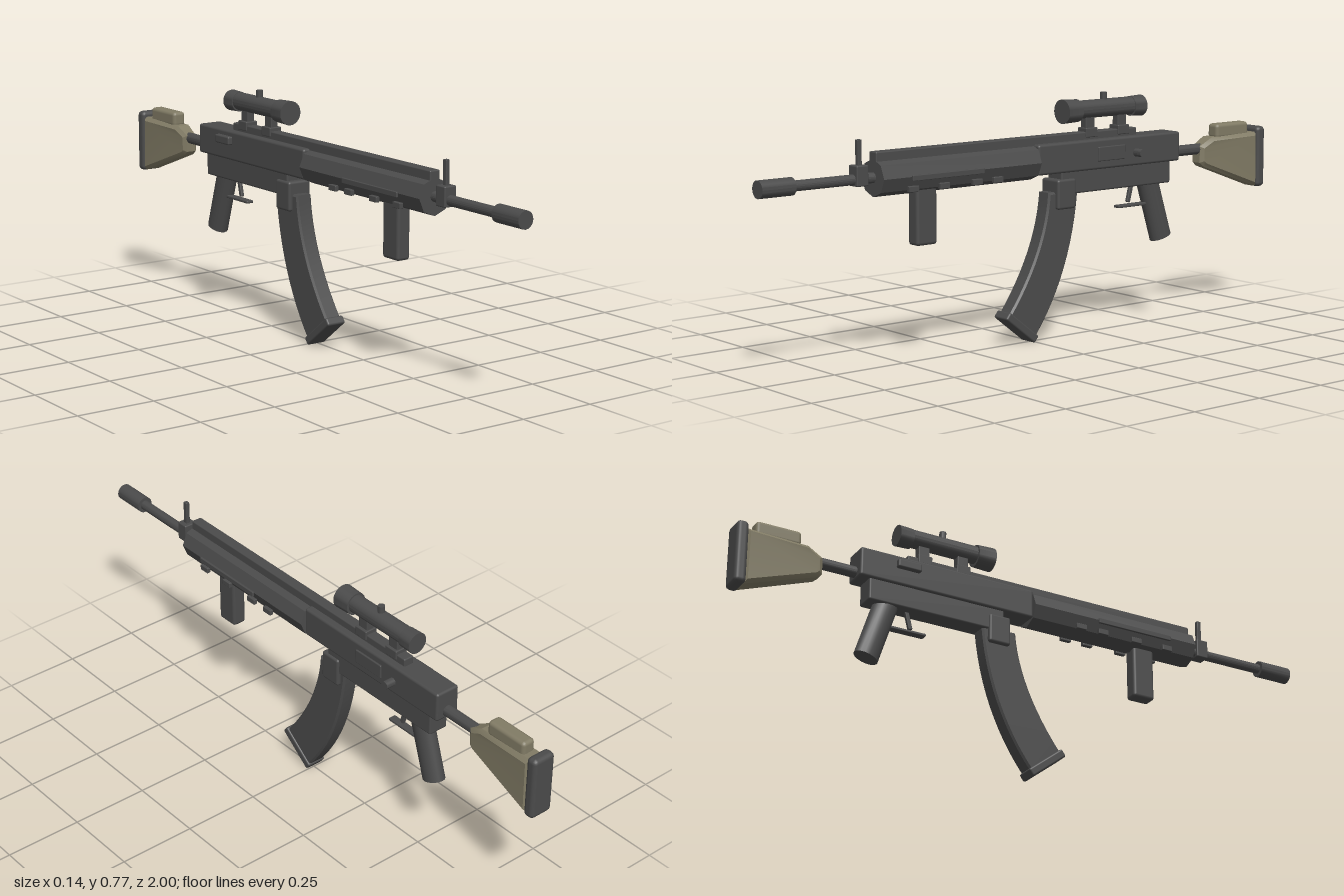
import * as THREE from 'three';
import { RoundedBoxGeometry } from 'three/addons/geometries/RoundedBoxGeometry.js';
import { toCreasedNormals } from 'three/addons/utils/BufferGeometryUtils.js';

export function createModel() {
  const model = new THREE.Group();
  const body = new THREE.Group();
  body.name = 'rifle';
  body.position.x = -0.006;
  model.add(body);

  const metal = new THREE.MeshStandardMaterial({ color: 0x4b4b4b });
  metal.name = 'gunmetal';
  const khaki = new THREE.MeshStandardMaterial({ color: 0x817b65 });
  khaki.name = 'khaki';

  const add = (name, geometry, x, y, z, material = metal) => {
    const mesh = new THREE.Mesh(geometry, material);
    mesh.name = name;
    mesh.position.set(x, y, z);
    body.add(mesh);
    return mesh;
  };
  // Box given by centre x, width, and its y and z limits
  const box = (name, x, w, y0, y1, z0, z1, r = 0.004, material = metal) =>
    add(name, new RoundedBoxGeometry(w, y1 - y0, z1 - z0, 2, r), x, (y0 + y1) / 2, (z0 + z1) / 2, material);
  // Round bar along z
  const bar = (name, y, z0, z1, r0, r1 = r0, sides = 20) => {
    const g = new THREE.CylinderGeometry(r1, r0, z1 - z0, sides).rotateX(Math.PI / 2);
    return add(name, toCreasedNormals(g, 0.6), 0, y, (z0 + z1) / 2);
  };
  // Side profile drawn as (z, y), extruded across x with chamfered edges
  const profile = (name, shape, width, bevel, material = metal) => {
    const g = new THREE.ExtrudeGeometry(shape, {
      depth: width - 2 * bevel, curveSegments: 12, bevelEnabled: true, bevelSegments: 1,
      bevelSize: bevel, bevelThickness: bevel, bevelOffset: -bevel,
    });
    g.translate(0, 0, bevel - width / 2).rotateY(-Math.PI / 2);
    return add(name, toCreasedNormals(g, 0.4), 0, 0, 0, material);
  };

  // Barrel and front sight
  bar('muzzle', 0.573, 0.885, 1, 0.027);
  bar('barrel', 0.573, 0.55, 0.9, 0.016);
  box('frontSightBlock', 0, 0.044, 0.553, 0.615, 0.63, 0.672);
  box('frontSightPost', 0, 0.014, 0.6, 0.69, 0.643, 0.658, 0.002);

  // Octagonal handguard with side rails and small lugs
  bar('handguard', 0.572, 0, 0.6, 0.057, 0.057, 8);
  for (const s of [-1, 1]) {
    box('sideRail', s * 0.06, 0.008, 0.56, 0.577, 0.23, 0.5, 0.002);
    for (const z of [0.49, 0.375, 0.25, 0.17])
      box('handguardLug', s * 0.05, 0.014, 0.526, 0.544, z - 0.018, z + 0.018, 0.002);
  }
  box('foregrip', 0, 0.048, 0.355, 0.54, 0.38, 0.457, 0.01);
  box('topRail', 0, 0.036, 0.61, 0.65, -0.43, 0.6, 0.004);

  // Receiver
  box('receiver', 0, 0.084, 0.53, 0.626, -0.6, 0, 0.008);
  box('lowerReceiver', 0, 0.068, 0.46, 0.54, -0.565, -0.1, 0.006);
  box('magazineWell', 0, 0.082, 0.415, 0.51, -0.155, -0.08, 0.008);
  box('ejectionPort', 0.042, 0.01, 0.556, 0.602, -0.357, -0.243, 0.003);
  box('selectorPlate', -0.047, 0.022, 0.582, 0.609, -0.48, -0.4, 0.005);
  const handle = new THREE.CylinderGeometry(0.013, 0.013, 0.05, 16).rotateZ(Math.PI / 2);
  add('chargingHandle', toCreasedNormals(handle, 0.6), 0.05, 0.572, -0.407);

  // Curved magazine with floor plate
  const mag = new THREE.Shape();
  mag.moveTo(-0.055, 0.47);
  mag.quadraticCurveTo(-0.04, 0.287, 0.105, 0.1);
  mag.lineTo(0, 0.018);
  mag.quadraticCurveTo(-0.15, 0.205, -0.175, 0.47);
  mag.closePath();
  profile('magazine', mag, 0.056, 0.006);
  const plate = add('magazineFloorPlate', new RoundedBoxGeometry(0.066, 0.027, 0.146, 2, 0.006), 0, 0.056, 0.056);
  plate.rotation.x = -0.66;

  // Pistol grip, trigger and guard
  const gripGeo = new THREE.CylinderGeometry(0.04, 0.04, 0.22, 16);
  gripGeo.scale(0.75, 1, 1);
  const grip = add('pistolGrip', toCreasedNormals(gripGeo, 0.6), 0, 0.384, -0.521);
  grip.rotation.x = 0.31;
  box('triggerGuard', 0, 0.026, 0.391, 0.4, -0.49, -0.36, 0.003);
  const trigger = box('trigger', 0, 0.012, 0.405, 0.47, -0.424, -0.41, 0.003);
  trigger.rotation.x = -0.25;

  // Scope on two mounts
  bar('scopeTube', 0.72, -0.44, -0.16, 0.029);
  bar('scopeFrontBell', 0.718, -0.19, -0.13, 0.036, 0.0385, 24);
  bar('scopeEyepiece', 0.718, -0.463, -0.415, 0.034, 0.032, 24);
  const knob = new THREE.CylinderGeometry(0.011, 0.011, 0.04, 16);
  add('scopeKnob', toCreasedNormals(knob, 0.6), 0, 0.75, -0.303);
  for (const z of [-0.237, -0.372]) {
    box('scopeMount', 0, 0.026, 0.64, 0.71, z - 0.019, z + 0.019, 0.003);
    box('scopeMountFoot', 0, 0.044, 0.632, 0.662, z - 0.024, z + 0.024, 0.003);
  }

  // Stock
  bar('stockTube', 0.555, -0.75, -0.58, 0.018);
  const stock = new THREE.Shape([
    [-0.715, 0.565], [-0.765, 0.592], [-0.968, 0.597], [-0.968, 0.412], [-0.73, 0.497], [-0.715, 0.51],
  ].map(([z, y]) => new THREE.Vector2(z, y)));
  const stockMesh = profile('stock', stock, 0.072, 0.012, khaki);
  // Narrow the stock toward its front end
  const p = stockMesh.geometry.attributes.position;
  for (let i = 0; i < p.count; i++)
    p.setX(i, p.getX(i) * (0.7 + 0.3 * Math.min(1, (-0.715 - p.getZ(i)) / 0.1)));
  stockMesh.geometry = toCreasedNormals(stockMesh.geometry, 0.4);
  box('cheekRest', 0, 0.046, 0.585, 0.634, -0.935, -0.787, 0.012, khaki);
  box('buttPad', 0, 0.08, 0.41, 0.615, -1, -0.962, 0.014);

  return model;
}
